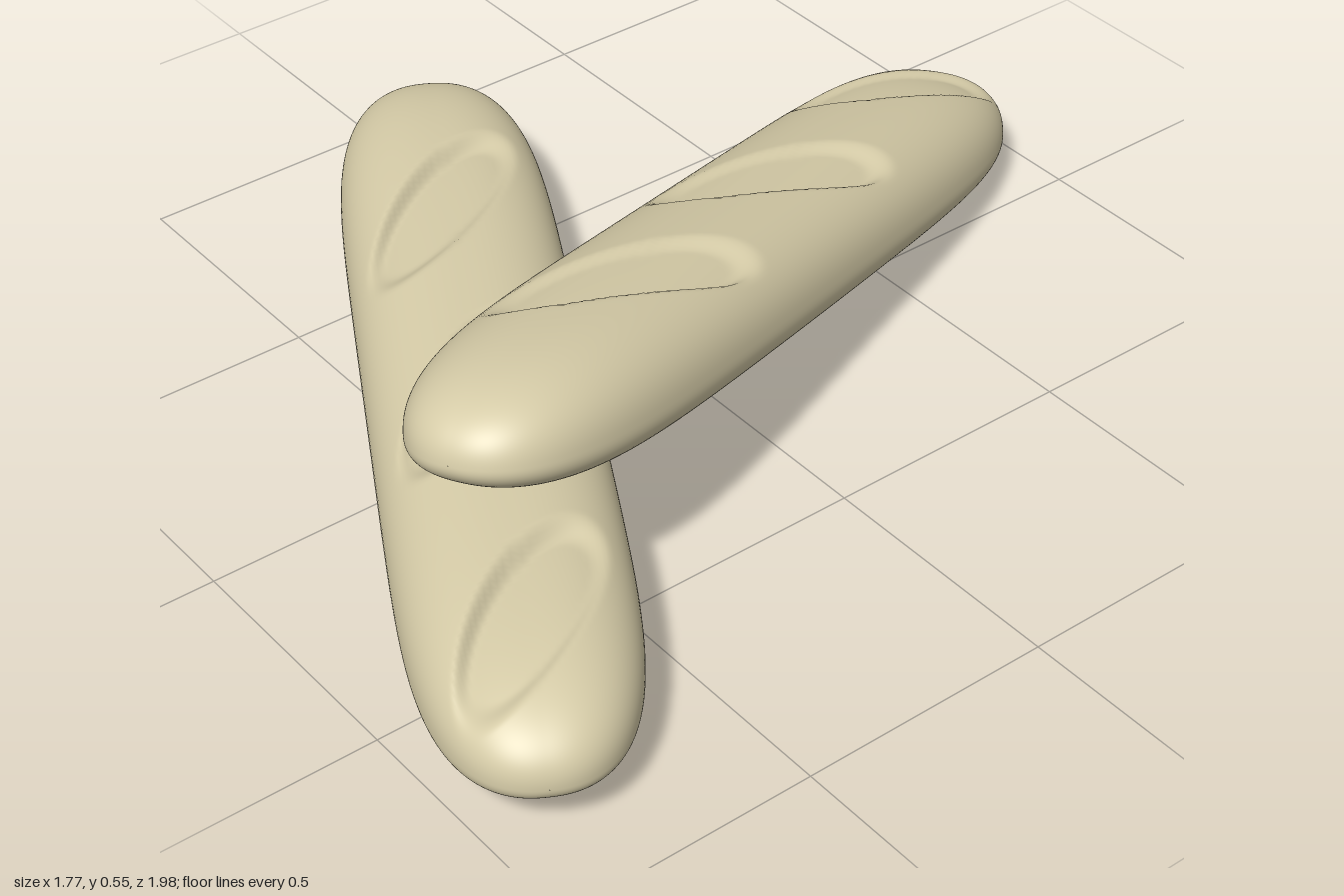
import * as THREE from 'three';

const HALF = 0.993;     // half length of a loaf
const RINGS = 300, SIDES = 110;

// Diagonal scores: centre along the loaf (u), across it (v), and half length
const SCORES = [
  { u: -0.44, v: 0.015, a: 0.28 },
  { u: 0.12, v: 0.015, a: 0.27 },
  { u: 0.71, v: -0.01, a: 0.25 },
];

// Depth of the score cuts at a point on the crust
function scoreDepth(x, z) {
  let depth = 0;
  for (const s of SCORES) {
    const dx = x - s.u, dz = z - s.v;
    const along = (dx * 0.87 + dz * 0.49) / s.a;
    const across = (-dx * 0.49 + dz * 0.87) / 0.095;
    const r = Math.hypot(along, across);
    if (r < 1) {
      const wall = THREE.MathUtils.smoothstep(1 - r, 0, 0.27);
      depth += 0.027 * wall * (0.85 + 0.45 * across);
    }
  }
  return depth;
}

const power = (v, e) => Math.sign(v) * Math.abs(v) ** e;

// Loaf lofted along x: domed top, gently rockered base, blunt rounded ends
function loafGeometry() {
  const pos = [], index = [];
  for (let i = 0; i <= RINGS; i++) {
    const t = Math.sin((i / RINGS - 0.5) * Math.PI);
    const size = Math.max(1 - Math.abs(t) ** 6, 1e-6) ** 0.45;
    const base = 0.11 - 0.022 * t * t;
    for (let j = 0; j < SIDES; j++) {
      const ang = (j / SIDES) * Math.PI * 2;
      const c = Math.cos(ang), s = Math.sin(ang);
      const x = t * HALF;
      const z = power(c, 0.85) * 0.205 * size;
      let y = power(s, 0.88) * (s > 0 ? 0.148 : base) * size;
      if (s > 0) y -= scoreDepth(x, z) * Math.min(1, s * 3);
      pos.push(x, y, z);
      if (i < RINGS) {
        const k = (j + 1) % SIDES;
        const a = i * SIDES + j, b = i * SIDES + k;
        const d = a + SIDES, e = b + SIDES;
        index.push(a, d, b, b, d, e);
      }
    }
  }
  const g = new THREE.BufferGeometry();
  g.setAttribute('position', new THREE.Float32BufferAttribute(pos, 3));
  g.setIndex(index);
  g.computeVertexNormals();
  return g;
}

export function createModel() {
  const group = new THREE.Group();
  group.name = 'breadLoaves';
  const crust = new THREE.MeshStandardMaterial({ color: 0xd6cca8 });
  const geometry = loafGeometry();
  const deg = THREE.MathUtils.degToRad;

  const addLoaf = (name, position, roll, yaw, pitch) => {
    const loaf = new THREE.Mesh(geometry, crust);
    loaf.name = name;
    loaf.position.set(...position);
    loaf.rotation.set(deg(roll), deg(yaw), deg(pitch), 'YZX');
    group.add(loaf);
  };

  // One loaf lies flat, the other leans across it, rolled slightly
  addLoaf('lowerLoaf', [0, 0.112, 0.433], 0, -29.3, 0);
  addLoaf('leaningLoaf', [0.1, 0.25, -0.073], -7, 112.8, -12.2);
  return group;
}
